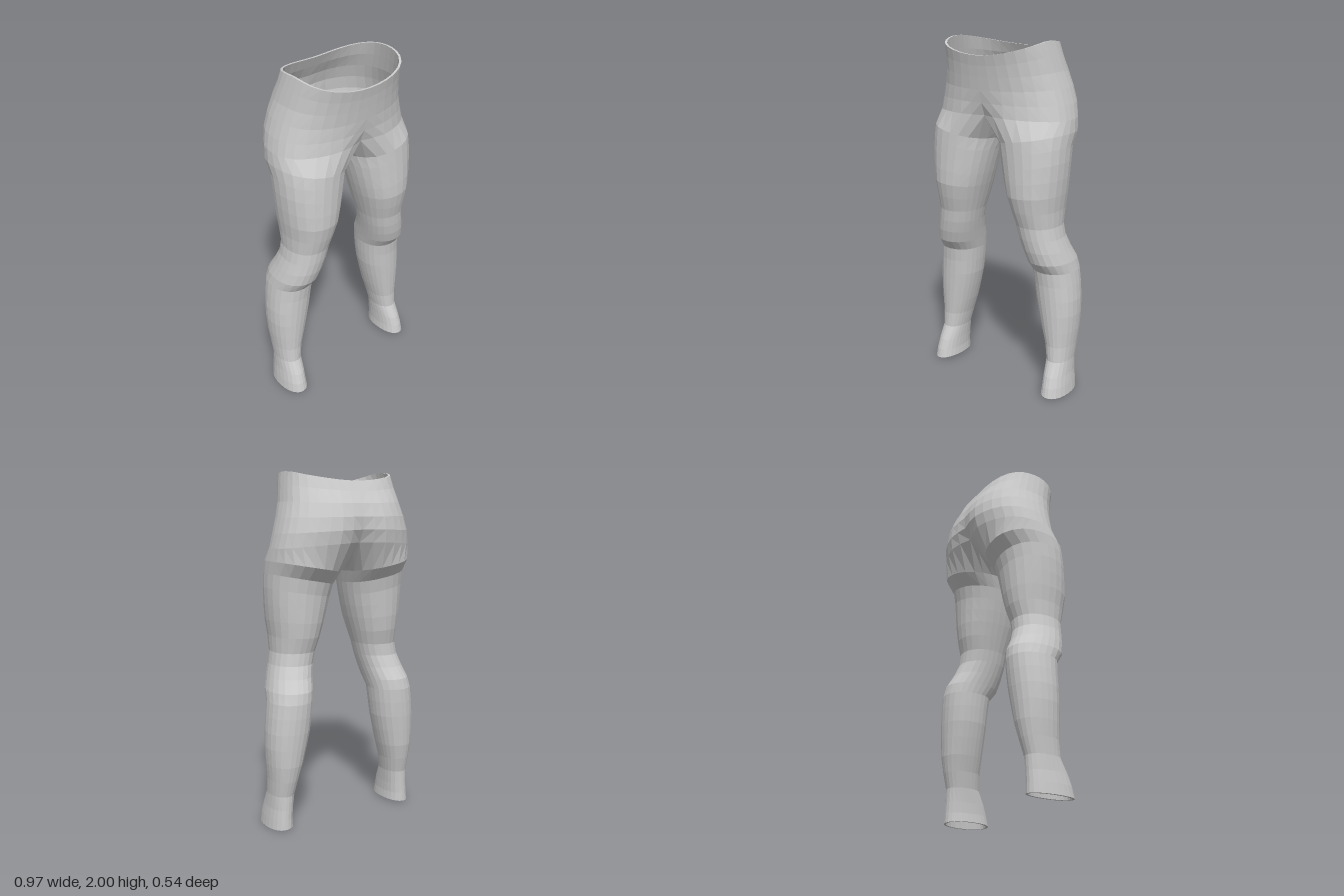
import * as THREE from 'three';

const OUT = 18;      // segments round the outside of one half, front seam to back seam
const IN = 6;        // extra segments round the inner thigh
const N = OUT + IN;
const THICK = 0.012; // cloth thickness
const WRAP = 0.87;   // how far the outer segments reach past the front and back of a leg

// Hip rows: y front, y side, y back, half width, z front, z back, roundness, front dip, back groove
const HIPS = [
  [1.925, 2.0, 1.95, 0.32, 0.27, -0.178, 2.8, 0, 0],
  [1.87, 1.925, 1.895, 0.335, 0.258, -0.205, 2.6, 0, 0],
  [1.81, 1.84, 1.83, 0.352, 0.248, -0.245, 2.5, 0, 0.008],
  [1.74, 1.755, 1.76, 0.378, 0.238, -0.27, 2.4, 0, 0.015],
  [1.67, 1.67, 1.69, 0.402, 0.233, -0.276, 2.4, 0.008, 0.028],
  [1.60, 1.59, 1.62, 0.42, 0.234, -0.262, 2.4, 0.035, 0.05],
];

// Crotch seam, front to back: y, z
const CROTCH = [[1.545, 0.14], [1.505, 0.07], [1.49, 0], [1.5, -0.07], [1.55, -0.15]];

// Leg rows: y outside, y inside, x inside, x outside, z front, z back
const LEG = [
  [1.52, 1.45, 0.03, 0.43, 0.238, -0.208],
  [1.45, 1.38, 0.05, 0.43, 0.24, -0.148],
  [1.37, 1.31, 0.067, 0.43, 0.242, -0.132],
  [1.28, 1.24, 0.085, 0.425, 0.244, -0.125],
  [1.19, 1.17, 0.105, 0.417, 0.243, -0.118],
  [1.10, 1.09, 0.13, 0.405, 0.225, -0.105],
  [1.01, 1.01, 0.155, 0.401, 0.202, -0.082],
  [0.94, 0.94, 0.172, 0.413, 0.195, -0.085],
  [0.87, 0.87, 0.189, 0.434, 0.184, -0.112],
  [0.80, 0.80, 0.205, 0.455, 0.165, -0.15],
  [0.74, 0.74, 0.217, 0.465, 0.122, -0.16],
  [0.66, 0.66, 0.225, 0.475, 0.113, -0.159],
  [0.57, 0.57, 0.237, 0.483, 0.109, -0.155],
  [0.48, 0.48, 0.257, 0.484, 0.105, -0.148],
  [0.38, 0.38, 0.282, 0.478, 0.1, -0.139],
  [0.29, 0.29, 0.308, 0.469, 0.095, -0.122],
  [0.20, 0.20, 0.327, 0.464, 0.1, -0.1],
  [0.12, 0.12, 0.333, 0.468, 0.14, -0.1],
  [0.06, 0.06, 0.335, 0.475, 0.16, -0.101],
  [0.0, 0.012, 0.332, 0.48, 0.172, -0.103],
];

// Unit point on a rounded-square curve; angle 0 faces front, 90 degrees faces outward
function roundPoint(angle, n) {
  const s = Math.sin(angle), c = Math.cos(angle);
  const r = Math.pow(Math.abs(s) ** n + Math.abs(c) ** n, -1 / n);
  return [s * r, c * r];
}

function hipRow([yF, yS, yB, w, zF, zB, n, dip, groove]) {
  const row = [];
  for (let i = 0; i <= OUT; i++) {
    const a = (i / OUT) * Math.PI;
    const [u, v] = roundPoint(a, n);
    const x = i % OUT ? u * w : 0;
    const near = Math.exp(-((x / 0.08) ** 2));
    const z = (zF + zB) / 2 + v * (zF - zB) / 2 + near * (v > 0 ? -dip : groove);
    const yEnd = v > 0 ? yF : yB;
    row.push([x, yEnd + (yS - yEnd) * Math.sin(a) ** 2, z]);
  }
  return row;
}

function legRow([yO, yI, xI, xO, zF, zB]) {
  const row = [];
  for (let i = 0; i < N; i++) {
    const a = i <= OUT
      ? -WRAP + (i / OUT) * (Math.PI + 2 * WRAP)
      : Math.PI + WRAP + ((i - OUT) / IN) * (Math.PI - 2 * WRAP);
    const [u, v] = roundPoint(a, 2.2);
    row.push([
      (xI + xO) / 2 + u * (xO - xI) / 2,
      (yI + yO) / 2 + u * (yO - yI) / 2,
      (zF + zB) / 2 + v * (zF - zB) / 2,
    ]);
  }
  return row;
}

// Half of the garment: outer cloth, inner cloth and hems. side is 1 or -1
function halfGeometry(side) {
  const rows = HIPS.map(hipRow);
  // the last hip row is closed by the crotch seam, running back to front
  const seam = [...CROTCH].reverse().map(([y, z]) => [0, y, z]);
  rows[rows.length - 1].push(...seam);
  rows.push(...LEG.map(legRow));

  const starts = [];
  const points = [];
  for (const row of rows) {
    starts.push(points.length);
    points.push(...row);
  }
  const at = (r, i) => starts[r] + (i % N);

  const faces = [];
  const quad = (a, b, c, d) => faces.push(a, b, c, a, c, d);
  for (let r = 0; r < rows.length - 1; r++) {
    const count = r < HIPS.length - 1 ? OUT : N;
    for (let i = 0; i < count; i++) quad(at(r, i), at(r + 1, i), at(r + 1, i + 1), at(r, i + 1));
  }

  // inner cloth follows the outer along its normals
  const outer = new THREE.BufferGeometry();
  outer.setAttribute('position', new THREE.Float32BufferAttribute(points.flat(), 3));
  outer.setIndex([...faces]);
  outer.computeVertexNormals();
  const normals = outer.getAttribute('normal');
  const total = points.length;
  const normal = new THREE.Vector3();
  const inner = points.map((p, k) => {
    normal.fromBufferAttribute(normals, k);
    if (p[0] === 0) normal.setX(0);
    if (k <= OUT) normal.setY(0); // level waist hem
    if (k >= total - N) normal.setY(0); // level ankle hem
    normal.normalize().multiplyScalar(THICK);
    return [p[0] - normal.x, p[1] - normal.y, p[2] - normal.z];
  });
  const outerCount = faces.length;
  for (let k = 0; k < outerCount; k += 3) {
    faces.push(faces[k] + total, faces[k + 2] + total, faces[k + 1] + total);
  }

  // waist and ankle hems
  const last = rows.length - 1;
  for (let i = 0; i < OUT; i++) quad(at(0, i), at(0, i + 1), at(0, i + 1) + total, at(0, i) + total);
  for (let i = 0; i < N; i++) {
    quad(at(last, i), at(last, i) + total, at(last, i + 1) + total, at(last, i + 1));
  }

  // mirror, turning the faces round so they still point outward
  if (side < 0) {
    for (let k = 0; k < faces.length; k += 3) {
      [faces[k + 1], faces[k + 2]] = [faces[k + 2], faces[k + 1]];
    }
  }
  const all = [...points, ...inner].map(([x, y, z]) => [x * side, y, z]);
  const geometry = new THREE.BufferGeometry();
  geometry.setAttribute('position', new THREE.Float32BufferAttribute(all.flat(), 3));
  geometry.setIndex(faces);
  geometry.computeVertexNormals();
  return geometry;
}

export function createModel() {
  const group = new THREE.Group();
  group.name = 'leggings';
  const cloth = new THREE.MeshStandardMaterial({ color: 0xcccccc, flatShading: true });
  for (const [name, side] of [['leftLegAndHip', 1], ['rightLegAndHip', -1]]) {
    const mesh = new THREE.Mesh(halfGeometry(side), cloth);
    mesh.name = name;
    group.add(mesh);
  }
  return group;
}
